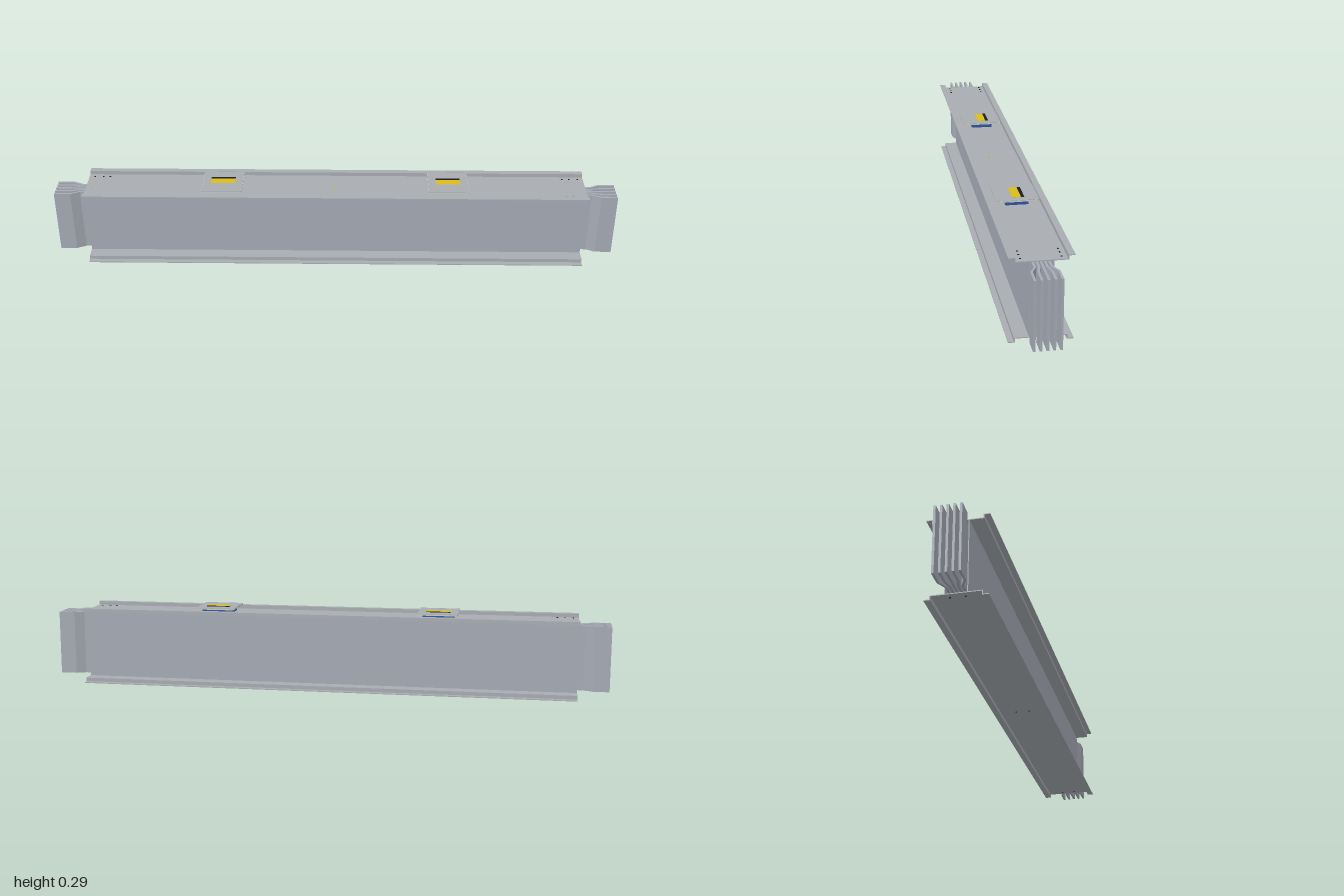
import * as THREE from 'three';

const mat = (name, color) => {
  const m = new THREE.MeshStandardMaterial({ color });
  m.name = name;
  return m;
};

export function createModel() {
  const steel = mat('channel grey', 0xa9adb2);
  const casing = mat('casing grey', 0xa6abb5);
  const yellow = mat('label yellow', 0xd9bd1e);
  const black = mat('black', 0x1c1c1c);
  const blue = mat('socket blue', 0x2f55a4);
  const pale = mat('seal pale green', 0xc6d0bf);

  const root = new THREE.Group();
  root.name = 'busbarTrunking';

  const add = (parent, name, geometry, material, x = 0, y = 0, z = 0) => {
    const mesh = new THREE.Mesh(geometry, material);
    mesh.name = name;
    mesh.position.set(x, y, z);
    parent.add(mesh);
    return mesh;
  };
  const box = (parent, name, size, material, x, y, z) =>
    add(parent, name, new THREE.BoxGeometry(...size), material, x, y, z);

  // Closed outline given as [x, y] pairs, extruded along z
  const extrude = (points, depth) => new THREE.ExtrudeGeometry(
    new THREE.Shape(points.map(p => new THREE.Vector2(...p))),
    { depth, bevelEnabled: false });

  // Flanged channels above and below, outline in (z, y)
  const half = [[0.1, 0.28], [0.1, 0.277], [0.082, 0.277], [0.082, 0.264]];
  const inner = [[0.079, 0.267], [0.079, 0.28]];
  const topOutline = [
    ...half, ...half.slice().reverse().map(([z, y]) => [-z, y]),
    ...inner.slice().reverse().map(([z, y]) => [-z, y]), ...inner,
  ];
  const channel = (name, outline) => {
    const g = extrude(outline, 1.78);
    g.rotateY(Math.PI / 2);
    g.translate(-0.89, 0, 0);
    add(root, name, g, steel);
  };
  channel('topChannel', topOutline);
  channel('bottomChannel', topOutline.map(([z, y]) => [z, 0.2825 - y]));

  // Side panels between the channels
  for (const s of [1, -1])
    box(root, 'sidePanel', [1.78, 0.247, 0.003], casing, 0, 0.1415, s * 0.035);

  // Five conductors that fan out at both ends, outline in (x, z)
  const t = 0.0038;
  for (let i = -2; i <= 2; i++) {
    const zIn = i * 0.0125, zOut = i * 0.0203;
    const path = [[-1, zOut], [-0.942, zOut], [-0.91, zIn],
      [0.91, zIn], [0.942, zOut], [1, zOut]];
    const outline = [
      ...path.map(([x, z]) => [x, -z - t]),
      ...path.slice().reverse().map(([x, z]) => [x, -z + t]),
    ];
    const g = extrude(outline, 0.229);
    g.rotateX(-Math.PI / 2);
    add(root, 'conductor', g, casing, 0, 0.027, 0);
  }

  // Rounded square plate lying flat
  const plateGeometry = (size, height, r) => {
    const h = size / 2, s = new THREE.Shape();
    s.absarc(h - r, h - r, r, 0, Math.PI / 2);
    s.absarc(r - h, h - r, r, Math.PI / 2, Math.PI);
    s.absarc(r - h, r - h, r, Math.PI, Math.PI * 1.5);
    s.absarc(h - r, r - h, r, Math.PI * 1.5, Math.PI * 2);
    const g = new THREE.ExtrudeGeometry(s, { depth: height, bevelEnabled: false, curveSegments: 4 });
    return g.rotateX(-Math.PI / 2);
  };

  // Tap-off outlets with cover and warning label
  for (const x of [-0.4, 0.4]) {
    const outlet = new THREE.Group();
    outlet.name = 'tapOffOutlet';
    outlet.position.x = x;
    root.add(outlet);
    box(outlet, 'socket', [0.11, 0.012, 0.076], blue, 0, 0.273, 0);
    box(outlet, 'hingeBlock', [0.08, 0.005, 0.05], black, 0, 0.281, 0);
    add(outlet, 'coverSeal', plateGeometry(0.142, 0.004, 0.005), pale, 0, 0.283, 0);
    add(outlet, 'cover', plateGeometry(0.14, 0.0015, 0.005), steel, 0, 0.287, 0);
    box(outlet, 'coverRim', [0.142, 0.002, 0.002], steel, 0, 0.288, 0.07);
    box(outlet, 'coverRim', [0.142, 0.002, 0.002], steel, 0, 0.288, -0.07);
    box(outlet, 'label', [0.086, 0.001, 0.03], yellow, 0, 0.289, 0);
    box(outlet, 'labelStripe', [0.086, 0.001, 0.011], black, 0, 0.289, -0.0205);
  }

  // Rivets near the channel ends and screws along the middle
  const rivet = new THREE.CylinderGeometry(0.003, 0.003, 0.002, 10);
  for (const sx of [1, -1])
    for (const sz of [1, -1])
      for (const x of [0.815, 0.84, 0.87])
        add(root, 'rivet', rivet, black, sx * x, 0.2675, sz * 0.062);
  for (const x of [-0.87, 0, 0.87])
    for (const z of [0.024, -0.024]) {
      if (x <= 0) add(root, 'topScrew', rivet, yellow, x, 0.2675, z);
      add(root, 'bottomScrew', rivet, black, x, 0.0145, z);
    }

  return root;
}
